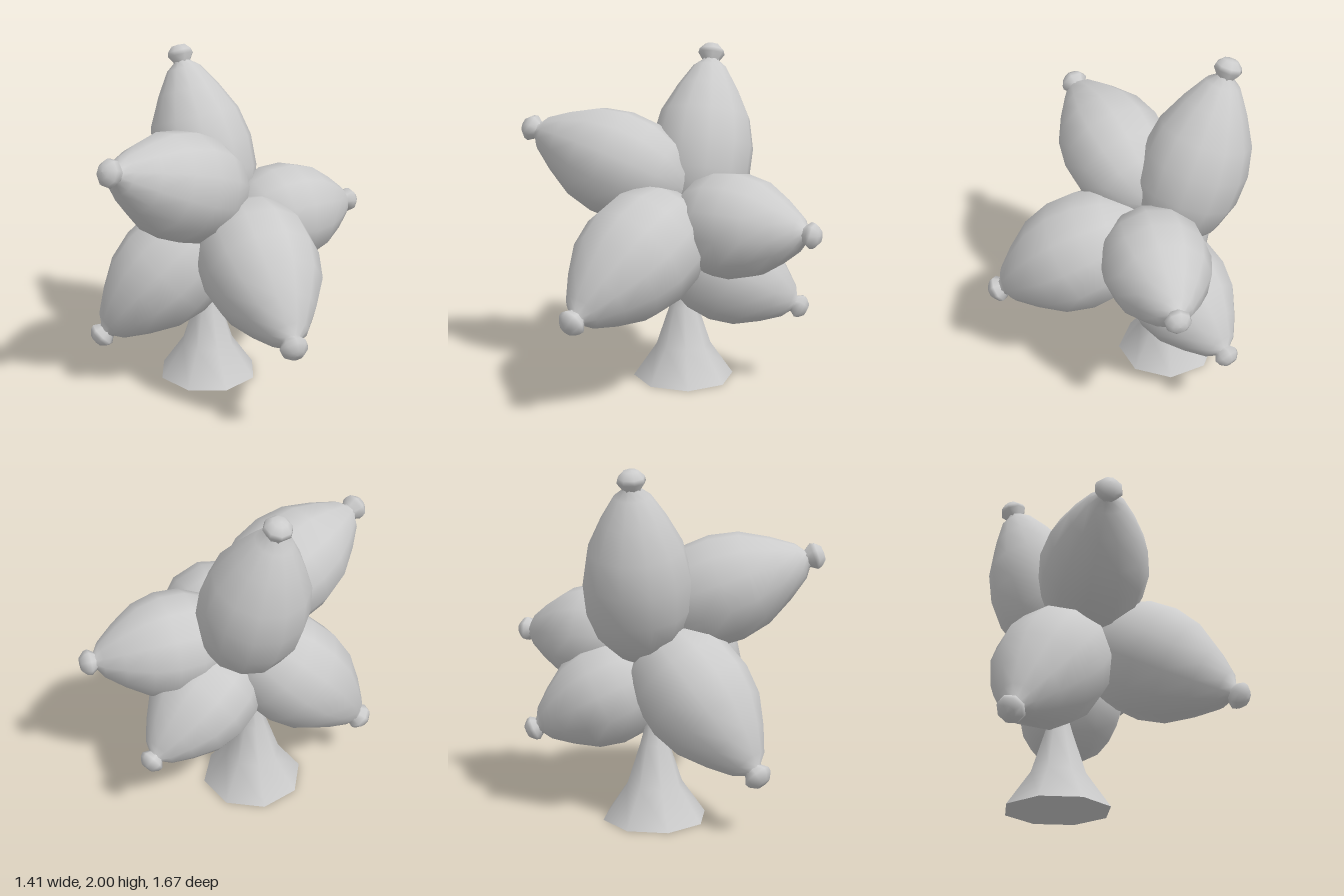
import * as THREE from 'three';

const material = new THREE.MeshStandardMaterial({ color: 0xcccccc });

// Smooth turned part from [radius, height] points, bottom to top
function turned(name, points, sides) {
  const profile = points.map(([r, y]) => new THREE.Vector2(r, y));
  const mesh = new THREE.Mesh(new THREE.LatheGeometry(profile, sides), material);
  mesh.name = name;
  return mesh;
}

// Teardrop body for a length and radius of 1, with its narrow end at y = 0
const bodyProfile = [
  [0, -1], [0.45, -0.955], [0.8, -0.84], [0.975, -0.69], [1, -0.52],
  [0.88, -0.355], [0.6, -0.2], [0.33, -0.08], [0.17, -0.045], [0.15, 0],
];

// Small tied end, widest at y = 0
const knotProfile = [
  [0.052, -0.07], [0.052, -0.045], [0.08, -0.005], [0.074, 0.02], [0.042, 0.052], [0, 0.056],
];

// A balloon pointing from its middle to its tied tip
function balloon(name, tip, middle, length, radius, knotSize) {
  const group = new THREE.Group();
  group.name = name;
  const body = turned('balloonBody', bodyProfile, 12);
  body.scale.set(radius, length, radius);
  const knot = turned('balloonKnot', knotProfile, 8);
  knot.scale.setScalar(knotSize);
  group.add(body, knot);
  const end = new THREE.Vector3(...tip);
  const direction = end.clone().sub(new THREE.Vector3(...middle)).normalize();
  group.quaternion.setFromUnitVectors(new THREE.Vector3(0, 1, 0), direction);
  group.position.copy(end);
  return group;
}

export function createModel() {
  const model = new THREE.Group();
  model.name = 'balloonCluster';

  // Flared eight-sided stand with a closed bottom
  const stand = turned('stand', [
    [0.305, 0], [0.165, 0.2], [0.085, 0.44], [0.045, 0.58], [0.03, 0.75],
  ], 8);
  const underside = new THREE.Mesh(new THREE.CircleGeometry(0.305, 8), material);
  underside.name = 'standUnderside';
  underside.rotation.x = Math.PI / 2;
  stand.add(underside);
  stand.position.set(-0.148, 0, -0.125);
  model.add(stand);

  // Six balloons fanning out from the middle
  model.add(
    balloon('topBalloon', [-0.395, 1.942, -0.31], [-0.248, 1.465, -0.25], 1.07, 0.305, 1),
    balloon('upperFrontBalloon', [-0.31, 1.51, 0.77], [-0.135, 1.32, 0.28], 1.02, 0.315, 1),
    balloon('lowerRightBalloon', [-0.64, 0.35, 0.33], [-0.315, 0.725, 0.095], 1.04, 0.325, 1),
    balloon('lowerLeftBalloon', [0.63, 0.59, 0.54], [0.28, 0.882, 0.15], 1.02, 0.34, 1),
    balloon('backLeftBalloon', [0.54, 1.02, -0.75], [0.305, 1.018, -0.435], 0.85, 0.303, 0.92),
    balloon('lowerBackBalloon', [0.125, 0.5, -0.78], [0.055, 0.667, -0.435], 0.85, 0.303, 0.9),
  );
  return model;
}
